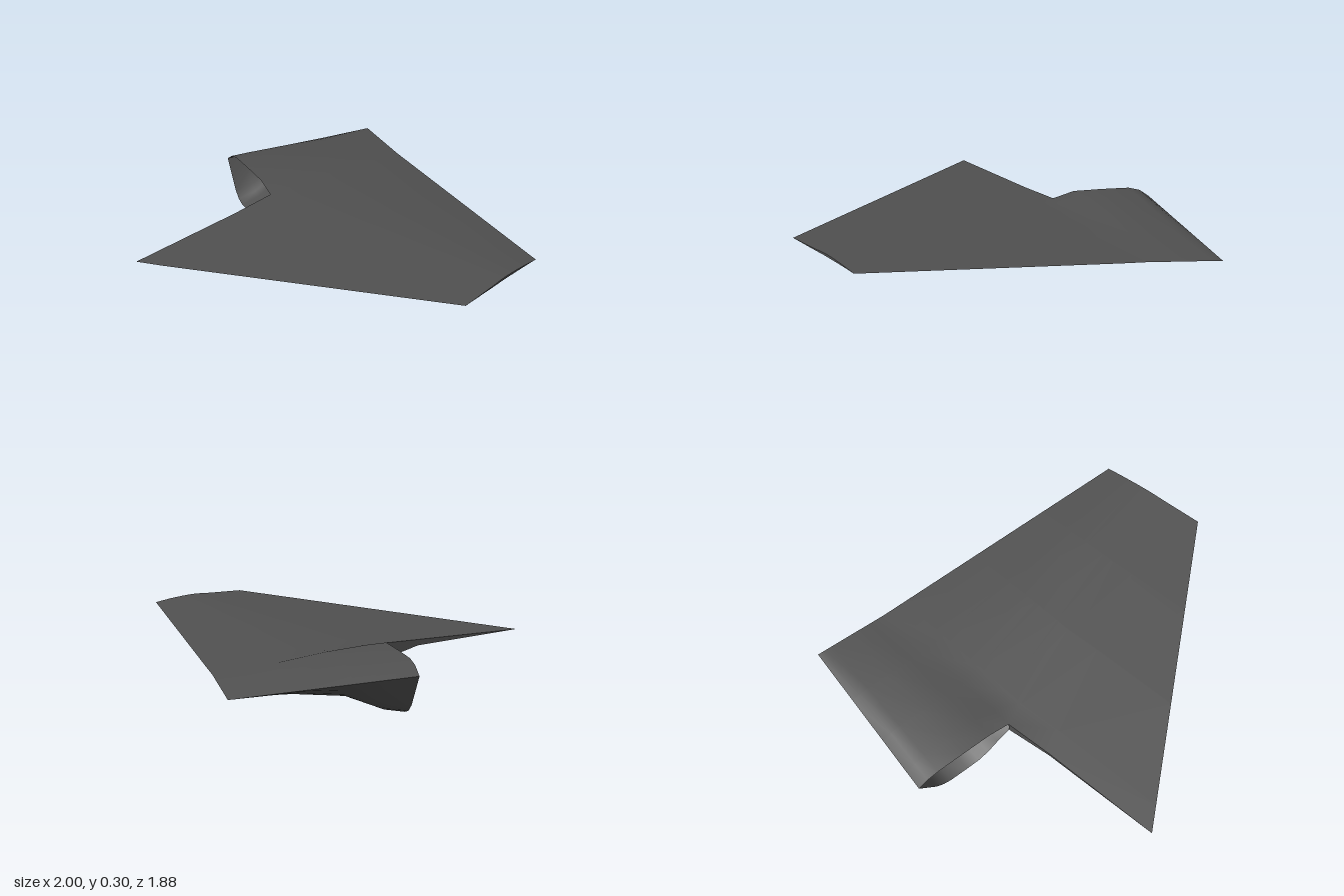
import * as THREE from 'three';
import { mergeGeometries, mergeVertices } from 'three/addons/utils/BufferGeometryUtils.js';

const lerp = THREE.MathUtils.lerp;

// Surface from rows of [x, y, z] points; rows run front to back, columns run along +x
function loft(rows, flip = false) {
  const n = rows[0].length, index = [];
  for (let r = 0; r < rows.length - 1; r++) {
    for (let c = 0; c < n - 1; c++) {
      const a = r * n + c, b = a + 1, d = a + n, e = d + 1;
      index.push(...(flip ? [a, d, b, b, d, e] : [a, b, d, b, e, d]));
    }
  }
  const g = new THREE.BufferGeometry();
  g.setAttribute('position', new THREE.Float32BufferAttribute(rows.flat(2), 3));
  g.setIndex(index);
  return g;
}

// Weld neighbouring patches so that the shading runs smoothly across the join
function skin(patches) {
  const g = mergeVertices(mergeGeometries(patches), 1e-4);
  g.computeVertexNormals();
  return g;
}

// Wing stations from the forward point to the trailing edge: root and tip plan positions
const rootX = [-0.38, -0.435, -0.465, -0.466, -0.467, -0.468, -0.47];
const rootZ = [0.94, 0.3, 0.05, -0.057, -0.26, -0.53, -0.84];
const rootTop = [0.22, 0.24, 0.25, 0.252, 0.25, 0.235, 0.2];
const rootLow = [0.22, 0.21, 0.16, 0.165, 0.175, 0.19, 0.2];
const blendLow = [0.223, 0.215, 0.21, 0.209, 0.207, 0.206, 0.206];
const tipTop = [0.29, 0.298, 0.303, 0.304, 0.302, 0.296, 0.285];
const tipLow = [0.29, 0.291, 0.292, 0.292, 0.291, 0.289, 0.285];

function wingRows(lower) {
  return rootZ.map((z, i) => {
    const t = (0.94 - z) / 1.78;
    const tip = [lerp(1, 0.91, t), lower ? tipLow[i] : tipTop[i], lerp(0.01, -0.54, t)];
    const inner = lower ? blendLow[i] : lerp(rootTop[i], tip[1], 0.085);
    return [0, 0.085, 0.4, 0.7, 1].map((u) => {
      const y = u === 0 ? (lower ? rootLow[i] : rootTop[i]) : lerp(inner, tip[1], (u - 0.085) / 0.915);
      return [lerp(rootX[i], tip[0], u), y, lerp(z, tip[2], u)];
    });
  });
}

// Body stations from the open mouth to the tail: crown and belly shrink towards the tail
const stations = [0, 0.12, 0.35, 0.65, 1];
const crownScale = [1, 0.95, 0.75, 0.4, 0];
const bellyScale = [1, 0.88, 0.42, 0.2, 0];
const crown = [[0, 0], [0.1, 0.036], [0.22, 0.05], [0.5, 0.046], [0.79, 0.038], [1, 0]];
const belly = [[0, 0], [0.09, -0.08], [0.17, -0.15], [0.24, -0.182], [0.32, -0.194], [0.5, -0.182],
  [0.64, -0.168], [0.75, -0.13], [0.87, -0.06], [1, 0]];

function bodyRows(profile, scale, rootY) {
  return stations.map((v, i) => profile.map(([u, h]) => [
    lerp(lerp(-1, -0.85, v), rootX[i + 2], u),
    lerp(lerp(0.21, 0.175, v), rootY[i + 2], u) + h * scale[i],
    lerp(lerp(-0.05, -0.94, v), rootZ[i + 2], u),
  ]));
}

export function createModel() {
  const group = new THREE.Group();
  const darkGrey = new THREE.MeshStandardMaterial({ color: 0x505050, side: THREE.DoubleSide });
  darkGrey.name = 'darkGrey';
  const add = (name, geometry) => {
    const mesh = new THREE.Mesh(geometry, darkGrey);
    mesh.name = name;
    group.add(mesh);
  };

  // Upper skin of body and wing
  add('upperSkin', skin([loft(bodyRows(crown, crownScale, rootTop)), loft(wingRows(false))]));
  // Lower skin with the hollow belly, open at the front
  add('lowerSkin', skin([loft(bodyRows(belly, bellyScale, rootLow), true), loft(wingRows(true), true)]));

  // Narrow walls closing the inner forward edge and the wing tip
  const inner = [0, 1, 2].map((i) => [
    [rootX[i], rootTop[i], rootZ[i]], [rootX[i], rootLow[i], rootZ[i]],
  ]);
  add('innerEdge', skin([loft(inner, true)]));
  const low = wingRows(true);
  const tip = wingRows(false).map((row, i) => [row[4], low[i][4]]);
  add('wingTip', skin([loft(tip)]));

  return group;
}
